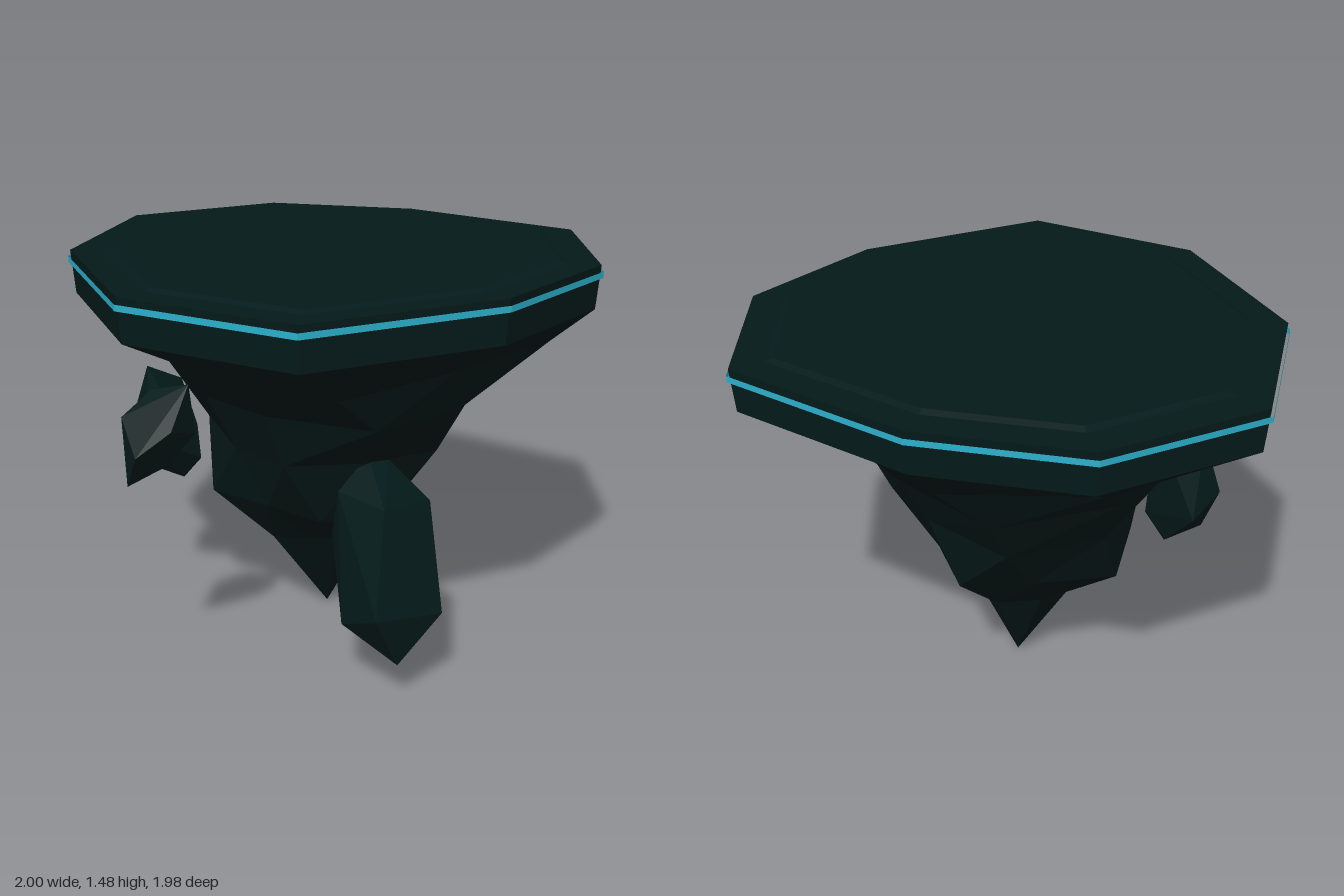
import * as THREE from 'three';
import { ConvexGeometry } from 'three/addons/geometries/ConvexGeometry.js';

const SIDES = 9;
// Platform outline (x, z), counterclockwise from above, starting at the front corner
const OUTLINE = [[0, 0.97], [0.65, 0.57], [0.98, 0.06], [0.90, -0.55], [0.24, -0.91],
  [-0.37, -0.98], [-0.90, -0.64], [-0.99, 0.03], [-0.64, 0.70]];

const outlineRing = (scale, y) => OUTLINE.map(([x, z]) => [x * scale, y, z * scale]);

// Twisted ring from one radius per corner, with slightly uneven heights
const rockRing = (y, twist, radii) => radii.map((r, k) => {
  const a = THREE.MathUtils.degToRad(twist + k * 360 / SIDES);
  return [r * Math.sin(a), y + 0.015 * Math.sin(k * 2.3 + y * 9), r * Math.cos(a)];
});

// Faceted skin through rings listed from top to bottom, with optional cap and tip
function loft(rings, { cap = false, tip = null } = {}) {
  const pos = [];
  const tri = (...pts) => pts.forEach((p) => pos.push(...p));
  const last = rings[rings.length - 1];
  for (let k = 0; k < SIDES; k++) {
    const n = (k + 1) % SIDES;
    for (let i = 0; i + 1 < rings.length; i++) {
      const up = rings[i], low = rings[i + 1];
      tri(low[k], low[n], up[n]);
      tri(low[k], up[n], up[k]);
    }
    if (cap) tri([0, rings[0][0][1], 0], rings[0][k], rings[0][n]);
    if (tip) tri(tip, last[n], last[k]);
  }
  const geo = new THREE.BufferGeometry();
  geo.setAttribute('position', new THREE.Float32BufferAttribute(pos, 3));
  geo.computeVertexNormals();
  return geo;
}

function material(name, color, extra = {}) {
  const m = new THREE.MeshStandardMaterial({ color, ...extra });
  m.name = name;
  return m;
}

export function createModel() {
  const group = new THREE.Group();
  group.name = 'floatingIsland';
  const slabMat = material('darkTealStone', 0x041a1a, { flatShading: true });
  const rockMat = material('deepTealRock', 0x041717, { flatShading: true });
  const glowMat = material('cyanTrim', 0x2bb0cc, { flatShading: true, side: THREE.DoubleSide });
  const add = (name, geo, mat) => {
    const mesh = new THREE.Mesh(geo, mat);
    mesh.name = name;
    group.add(mesh);
  };

  // Platform slab, its raised top plate and the trim band
  add('platform', loft([outlineRing(1.004, 1.465), outlineRing(0.99, 1.30)], { cap: true }), slabMat);
  add('topPlate', loft([outlineRing(0.855, 1.475), outlineRing(0.885, 1.464)], { cap: true }), slabMat);
  add('trimBand', loft([outlineRing(1.013, 1.441), outlineRing(1.013, 1.418)]), glowMat);

  // Hanging rock, twisting as it tapers to an off-centre tip
  add('hangingRock', loft([
    outlineRing(0.99, 1.30),
    rockRing(1.16, 8, [0.77, 0.65, 0.82, 0.70, 0.82, 0.84, 0.72, 0.68, 0.66]),
    rockRing(0.98, 20, [0.64, 0.56, 0.59, 0.55, 0.68, 0.68, 0.66, 0.51, 0.53]),
    rockRing(0.78, 24, [0.43, 0.46, 0.47, 0.46, 0.56, 0.55, 0.50, 0.41, 0.46]),
    rockRing(0.53, 38, [0.30, 0.28, 0.31, 0.42, 0.40, 0.50, 0.47, 0.33, 0.32]),
    rockRing(0.36, 52, [0.14, 0.15, 0.18, 0.25, 0.26, 0.28, 0.24, 0.16, 0.13]),
  ], { tip: [-0.03, 0, -0.07] }), rockMat);

  // Loose shards around the rock
  const shards = {
    frontShard: [[0.17, 0.81, 0.36], [0.24, 0.79, 0.33], [0.07, 0.70, 0.45], [0.25, 0.70, 0.61],
      [0.40, 0.66, 0.40], [0.46, 0.31, 0.60], [0.31, 0.15, 0.71], [0.10, 0.25, 0.61],
      [0.04, 0.50, 0.37], [0.24, 0.36, 0.80], [0.30, 0.20, 0.49], [0.28, 0.52, 0.30]],
    rightShard: [[-0.73, 1.00, -0.02], [-0.62, 0.90, 0.12], [-0.62, 0.92, -0.13], [-0.80, 0.78, -0.03],
      [-0.70, 0.76, 0.15], [-0.70, 0.74, -0.19], [-0.53, 0.78, 0.02], [-0.52, 0.64, 0.02],
      [-0.60, 0.54, -0.02], [-0.74, 0.60, 0.01]],
    cornerShard: [[-0.41, 1.17, 0.70], [-0.55, 1.13, 0.65], [-0.65, 1.04, 0.69], [-0.58, 0.93, 0.80],
      [-0.46, 1.02, 0.77], [-0.40, 0.98, 0.66], [-0.63, 0.80, 0.73], [-0.50, 0.86, 0.67],
      [-0.57, 0.97, 0.62]],
  };
  for (const [name, pts] of Object.entries(shards)) {
    add(name, new ConvexGeometry(pts.map((p) => new THREE.Vector3(...p))), slabMat);
  }
  return group;
}
